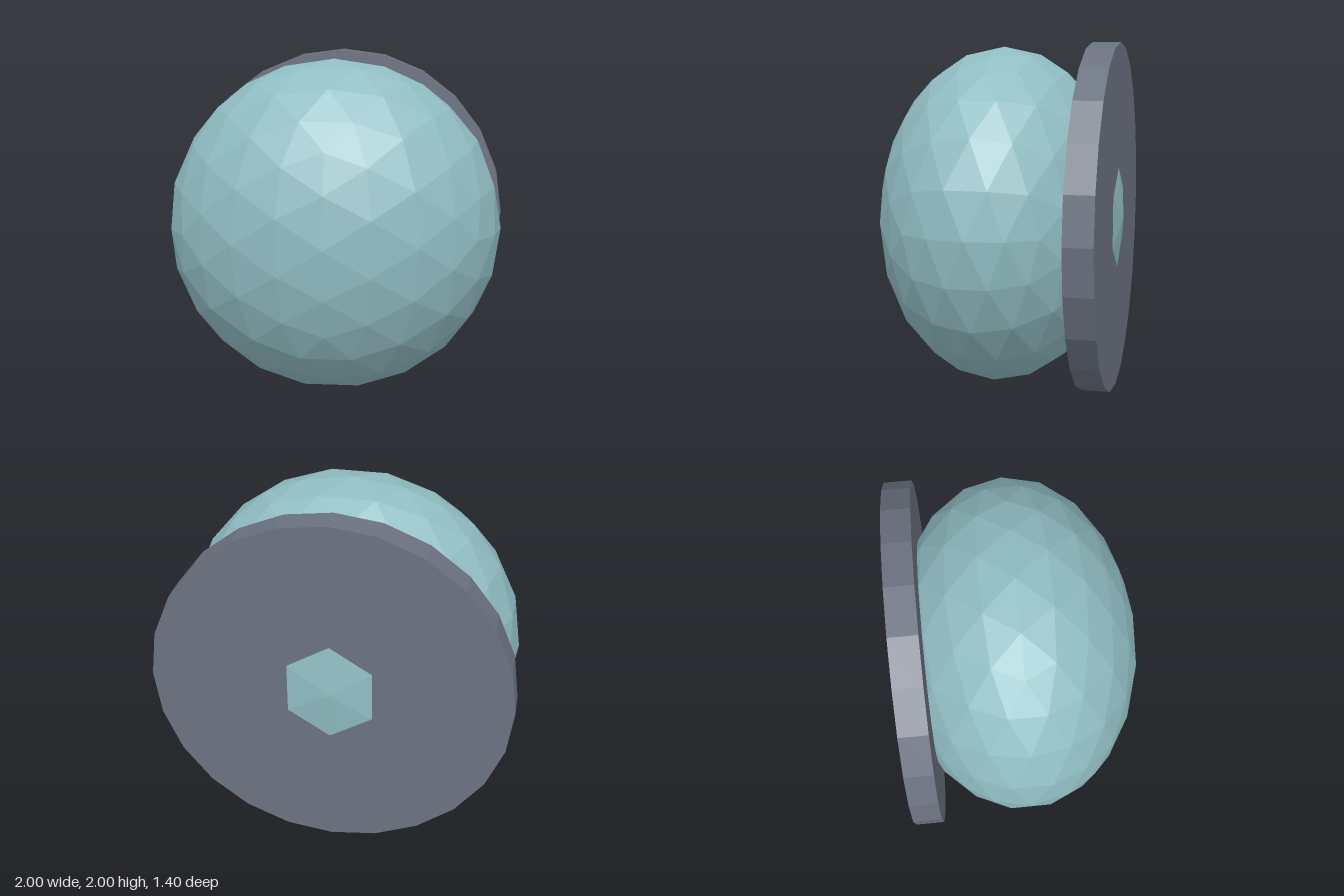
import * as THREE from 'three';

export function createModel() {
  const model = new THREE.Group();
  const teal = new THREE.MeshStandardMaterial({ color: 0x90bdc3 });
  teal.name = 'paleTeal';
  const grey = new THREE.MeshStandardMaterial({ color: 0x6b7280 });
  grey.name = 'slateGrey';

  const add = (name, geometry, material) => {
    const faceted = geometry.index ? geometry.toNonIndexed() : geometry;
    faceted.computeVertexNormals(); // one normal per face
    const mesh = new THREE.Mesh(faceted, material);
    mesh.name = name;
    model.add(mesh);
  };

  // Faceted dome, squashed front to back; its rear tip pokes through the plate
  add('dome', new THREE.IcosahedronGeometry(1, 3)
    .scale(0.973, 0.973, 0.7025).translate(0, 1, 0), teal);

  // Round mounting plate behind the dome
  add('backPlate', new THREE.CylinderGeometry(1, 1, 0.16, 24)
    .rotateX(Math.PI / 2).translate(0, 1, -0.591), grey);

  return model;
}
